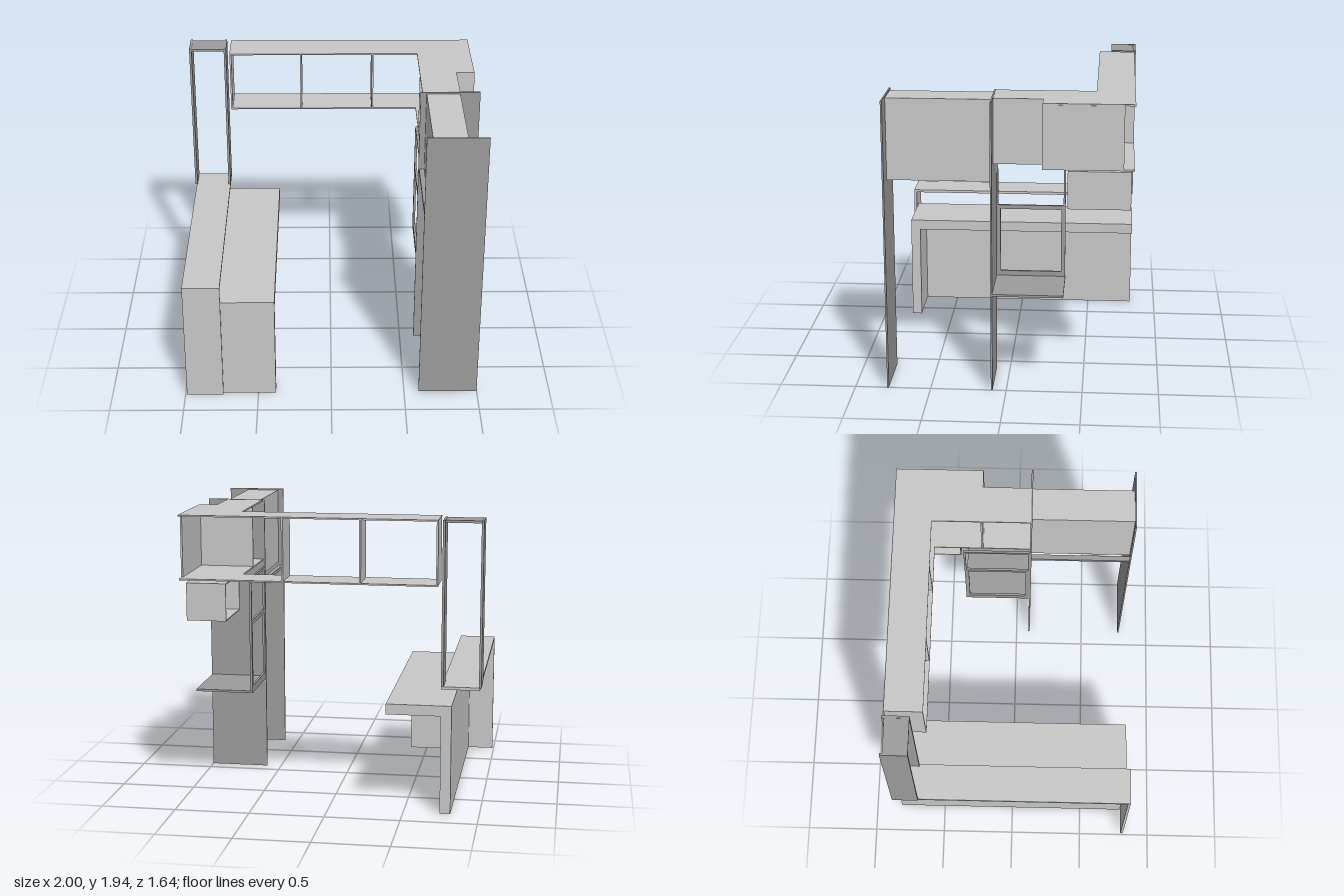
import * as THREE from 'three';

export function createModel() {
  const model = new THREE.Group();
  model.name = 'kitchen';

  const light = new THREE.MeshStandardMaterial({ color: 0xc8c8c8 });
  light.name = 'light grey';
  const dark = new THREE.MeshStandardMaterial({ color: 0x9c9c9c });
  dark.name = 'dark grey';

  function group(name) {
    const g = new THREE.Group();
    g.name = name;
    model.add(g);
    return g;
  }

  // Box given by its extents on each axis
  function board(parent, name, material, [x0, x1], [y0, y1], [z0, z1]) {
    const mesh = new THREE.Mesh(new THREE.BoxGeometry(x1 - x0, y1 - y0, z1 - z0), material);
    mesh.position.set((x0 + x1) / 2, (y0 + y1) / 2, (z0 + z1) / 2);
    mesh.name = name;
    parent.add(mesh);
    return mesh;
  }

  // Counter with a thick top, one end leg and a back wall
  const counter = group('counter');
  board(counter, 'counterTop', light, [-0.81, -0.38], [0.66, 0.73], [-0.82, 0.798]);
  board(counter, 'counterLeg', light, [-0.81, -0.38], [0, 0.66], [0.732, 0.798]);
  board(counter, 'counterWall', light, [-0.81, -0.74], [0, 0.66], [-0.82, 0.732]);

  // Raised bar with a panel at the front end
  const bar = group('bar');
  board(bar, 'barTop', light, [-0.99, -0.74], [0.838, 0.857], [-0.813, 0.82]);
  board(bar, 'barEnd', light, [-0.99, -0.74], [0, 0.838], [0.802, 0.82]);

  // Tall open frame standing on the bar
  const frame = group('barFrame');
  for (const x of [-1, -0.755]) {
    board(frame, 'frameSide', dark, [x, x + 0.016], [0.857, 1.94], [-0.823, -0.645]);
  }
  board(frame, 'frameTop', dark, [-0.984, -0.755], [1.922, 1.938], [-0.805, -0.645]);

  // Two tall panels
  const panels = group('tallPanels');
  for (const z of [0.778, 0.09]) {
    board(panels, 'tallPanel', dark, [0.6, 1], [0, 1.94], [z, z + 0.011]);
  }

  // Closed cabinet between the panels, with a rail beneath
  const cabinet = group('wallCabinet');
  board(cabinet, 'cabinetBody', light, [0.64, 0.865], [1.39, 1.93], [0.101, 0.778]);
  board(cabinet, 'cabinetRail', dark, [0.605, 0.64], [1.345, 1.367], [0.101, 0.778]);

  // L-shaped shelf unit, top and bottom boards
  const shelves = group('shelfUnit');
  const outline = new THREE.Shape([
    [-0.71, -0.812], [0.988, -0.812], [0.988, -0.23], [0.865, -0.23],
    [0.865, 0.09], [0.612, 0.09], [0.612, -0.562], [-0.71, -0.562],
  ].map(([x, z]) => new THREE.Vector2(x, z)));
  for (const [name, y] of [['shelfTop', 1.938], ['shelfBottom', 1.519]]) {
    const geometry = new THREE.ExtrudeGeometry(outline, { depth: 0.01, bevelEnabled: false });
    geometry.rotateX(Math.PI / 2);
    const mesh = new THREE.Mesh(geometry, light);
    mesh.position.y = y;
    mesh.name = name;
    shelves.add(mesh);
  }

  // Dividers and side walls of the shelf unit
  const inner = [1.519, 1.928];
  for (const x of [-0.71, -0.213, 0.295]) {
    board(shelves, 'shelfDivider', light, [x, x + 0.012], inner, [-0.81, -0.564]);
  }
  board(shelves, 'cornerSide', light, [0.978, 0.99], inner, [-0.745, -0.23]);
  board(shelves, 'cornerFront', light, [0.614, 0.978], inner, [-0.242, -0.23]);
  board(shelves, 'wingSide', light, [0.853, 0.865], inner, [-0.23, 0.09]);

  // Hood box under the corner, open towards the room
  const hood = group('hood');
  const hx = [0.68, 0.945], hy = [1.24, 1.49], t = 0.008;
  board(hood, 'hoodBottom', light, hx, [hy[0], hy[0] + t], [-0.795, -0.39]);
  board(hood, 'hoodTop', light, hx, [hy[1] - t, hy[1]], [-0.795, -0.39]);
  const hoodInner = [hy[0] + t, hy[1] - t];
  board(hood, 'hoodBack', light, [hx[1] - t, hx[1]], hoodInner, [-0.795, -0.39]);
  for (const z of [-0.795, -0.39 - t]) {
    board(hood, 'hoodSide', light, [hx[0], hx[1] - t], hoodInner, [z, z + t]);
  }

  // Appliance frame with two openings, on a deep bottom shelf
  const oven = group('applianceFrame');
  const fx = [0.602, 0.618];
  for (const [z0, z1] of [[-0.368, -0.355], [0.078, 0.09]]) {
    board(oven, 'framePost', dark, fx, [0.67, 1.463], [z0, z1]);
  }
  for (const [z0, z1] of [[-0.355, -0.34], [0.062, 0.078]]) {
    board(oven, 'lowerPost', dark, fx, [0.67, 1.135], [z0, z1]);
  }
  for (const [y0, y1] of [[0.67, 0.703], [1.135, 1.162], [1.445, 1.463]]) {
    board(oven, 'frameRail', dark, fx, [y0, y1], [-0.355, 0.078]);
  }
  board(oven, 'applianceShelf', dark, [0.602, 0.998], [0.655, 0.67], [-0.37, 0.09]);

  return model;
}
